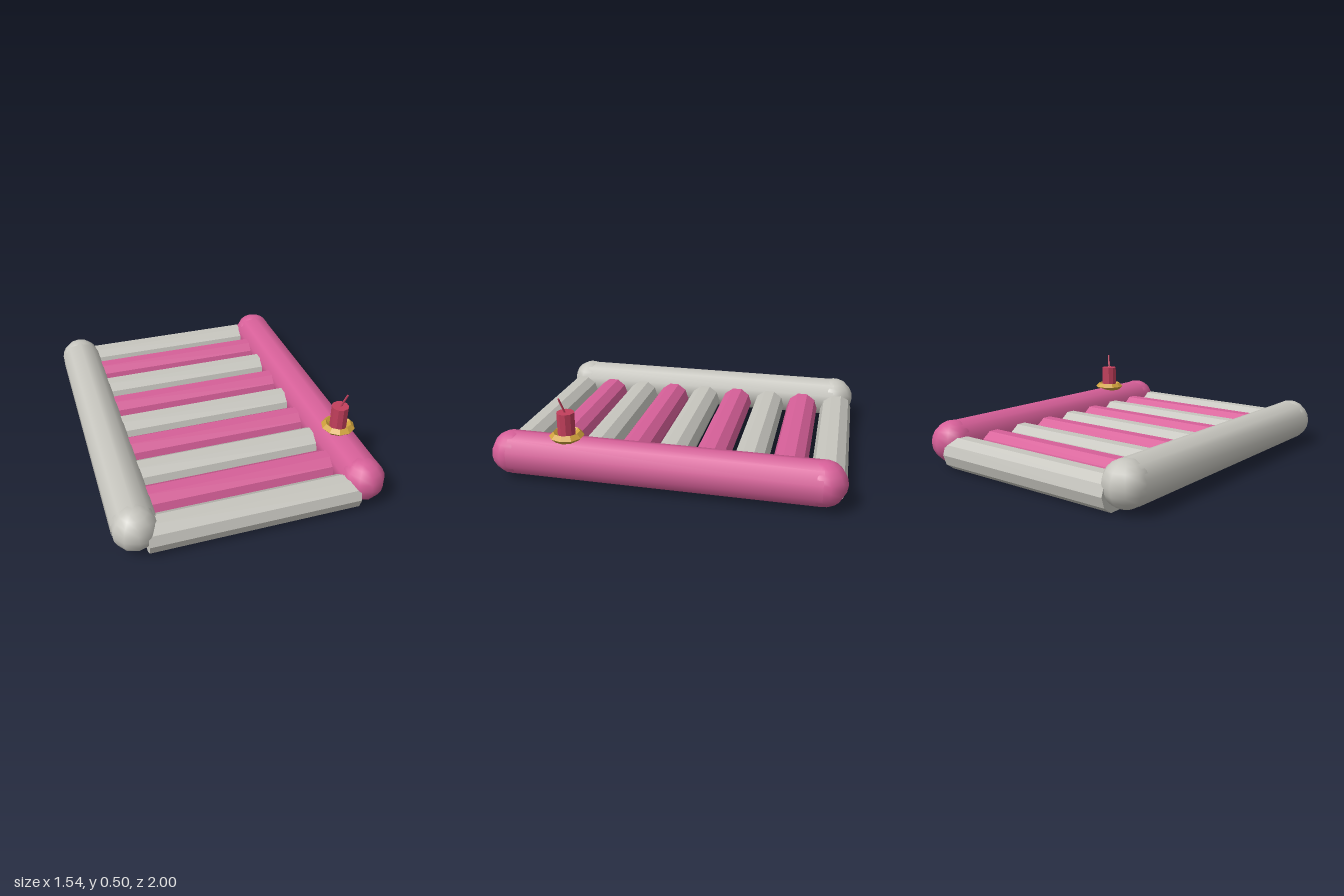
import * as THREE from 'three';

const mat = (name, color) => Object.assign(new THREE.MeshStandardMaterial({ color }), { name });

export function createModel() {
  const root = new THREE.Group();
  root.name = 'raft';
  const grey = mat('pale grey', 0xc6c5be);
  const pink = mat('pink', 0xd65f98);
  const gold = mat('gold', 0xcfa13c);
  const red = mat('candle red', 0xc23f5c);

  const add = (parent, name, geo, material, x = 0, y = 0, z = 0) => {
    const mesh = new THREE.Mesh(geo, material);
    mesh.name = name;
    mesh.position.set(x, y, z);
    parent.add(mesh);
    return mesh;
  };
  const flat = (geo) => {
    const g = geo.toNonIndexed();
    g.computeVertexNormals();
    return g;
  };

  // Side tubes with rounded ends
  const R = 0.126, half = 0.874;
  const tubeGeo = new THREE.CylinderGeometry(R, R, half * 2, 10, 1, true).rotateX(Math.PI / 2);
  const ballGeo = new THREE.SphereGeometry(R, 10, 10).rotateY(Math.PI / 2);
  for (const [side, name, m] of [[1, 'left', pink], [-1, 'right', grey]]) {
    const tube = new THREE.Group();
    tube.name = name + 'SideTube';
    tube.position.set(side * 0.648, 0.146, 0);
    root.add(tube);
    add(tube, name + 'Tube', tubeGeo, m);
    add(tube, name + 'FrontEnd', ballGeo, m, 0, 0, half);
    add(tube, name + 'BackEnd', ballGeo, m, 0, 0, -half);
  }

  // Ten-sided cross slats in alternating colours
  const slatGeo = flat(new THREE.CylinderGeometry(0.1, 0.1, 1.19, 10).rotateZ(Math.PI / 2));
  for (let i = 0; i < 9; i++) {
    add(root, 'slat' + (i + 1), slatGeo, i % 2 ? pink : grey, 0, 0.0951, (i - 4) * 0.2238);
  }

  // Candle on a faceted ring
  const candle = new THREE.Group();
  candle.name = 'candle';
  candle.position.set(0.645, 0, 0.548);
  root.add(candle);
  add(candle, 'candleRing', flat(new THREE.TorusGeometry(0.074, 0.024, 4, 10).rotateX(Math.PI / 2)), gold, 0, 0.277, 0);
  add(candle, 'candleStick', flat(new THREE.CylinderGeometry(0.05, 0.05, 0.165, 10)), red, 0, 0.3325, 0);

  // Leaning wick
  const from = new THREE.Vector3(0, 0.405, 0), to = new THREE.Vector3(0.024, 0.5, 0.025);
  const dir = to.clone().sub(from);
  const wick = add(candle, 'wick', flat(new THREE.CylinderGeometry(0.006, 0.006, dir.length(), 6)), red);
  wick.position.copy(from).add(to).multiplyScalar(0.5);
  wick.quaternion.setFromUnitVectors(new THREE.Vector3(0, 1, 0), dir.normalize());

  return root;
}
